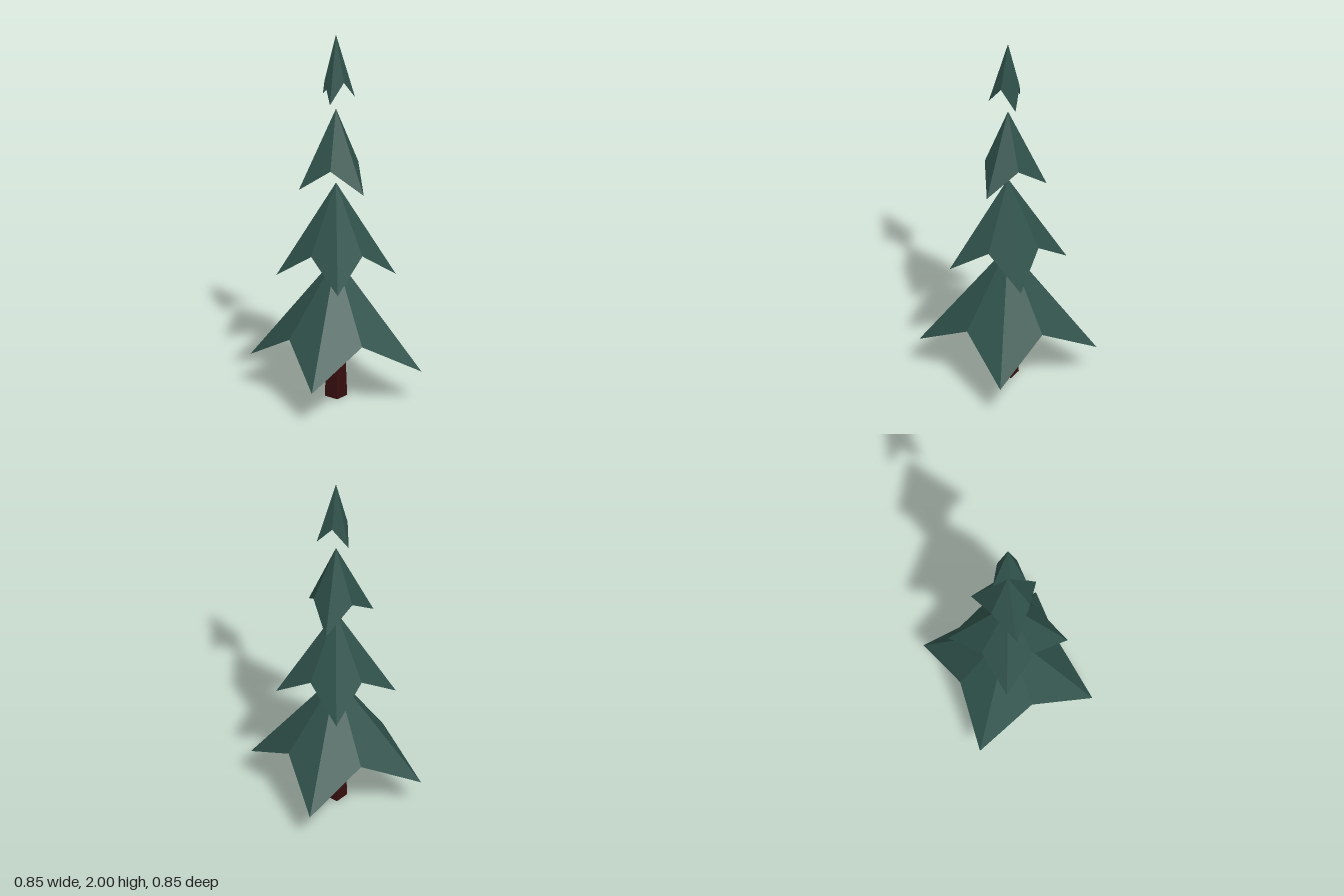
import * as THREE from 'three';

// Open star-shaped skirt: long tips alternating with shorter, raised notches
function skirt({ tips, angle, apexY, tipR, tipY, notchR, notchY }) {
  const rim = [];
  for (let i = 0; i < tips * 2; i++) {
    const isTip = i % 2 === 0;
    const a = THREE.MathUtils.degToRad(angle) + (i * Math.PI) / tips;
    const r = isTip ? tipR : notchR;
    rim.push([r * Math.cos(a), isTip ? tipY : notchY, r * Math.sin(a)]);
  }
  const positions = [];
  rim.forEach((p, i) => {
    positions.push(0, apexY, 0, ...rim[(i + 1) % rim.length], ...p);
  });
  const geometry = new THREE.BufferGeometry();
  geometry.setAttribute('position', new THREE.Float32BufferAttribute(positions, 3));
  geometry.computeVertexNormals();
  return geometry;
}

export function createModel() {
  const needles = new THREE.MeshStandardMaterial({ color: 0x30524b, side: THREE.DoubleSide, flatShading: true });
  needles.name = 'needle green';
  const bark = new THREE.MeshStandardMaterial({ color: 0x380f0f, flatShading: true });
  bark.name = 'bark brown';

  const tree = new THREE.Group();
  tree.name = 'tree';

  // Square tapering trunk, corners on the axes
  const trunk = new THREE.Mesh(new THREE.CylinderGeometry(0.026, 0.058, 0.84, 4), bark);
  trunk.name = 'trunk';
  trunk.position.y = 0.42;
  tree.add(trunk);

  // Foliage tiers from bottom to top; the upper two have three tips
  const tiers = [
    { name: 'bottomFoliage', tips: 4, angle: 21.7, apexY: 0.77, tipR: 0.459, tipY: 0.18, notchR: 0.276, notchY: 0.36 },
    { name: 'lowerFoliage', tips: 4, angle: 4.3, apexY: 1.18, tipR: 0.309, tipY: 0.67, notchR: 0.187, notchY: 0.82 },
    { name: 'upperFoliage', tips: 3, angle: 50, apexY: 1.59, tipR: 0.2, tipY: 1.16, notchR: 0.12, notchY: 1.285 },
    { name: 'topFoliage', tips: 3, angle: -6, apexY: 2, tipR: 0.101, tipY: 1.645, notchR: 0.061, notchY: 1.75 },
  ];
  for (const tier of tiers) {
    const mesh = new THREE.Mesh(skirt(tier), needles);
    mesh.name = tier.name;
    tree.add(mesh);
  }

  tree.position.set(0.004, 0, -0.004);
  const model = new THREE.Group();
  model.name = 'pineTree';
  model.add(tree);
  return model;
}
